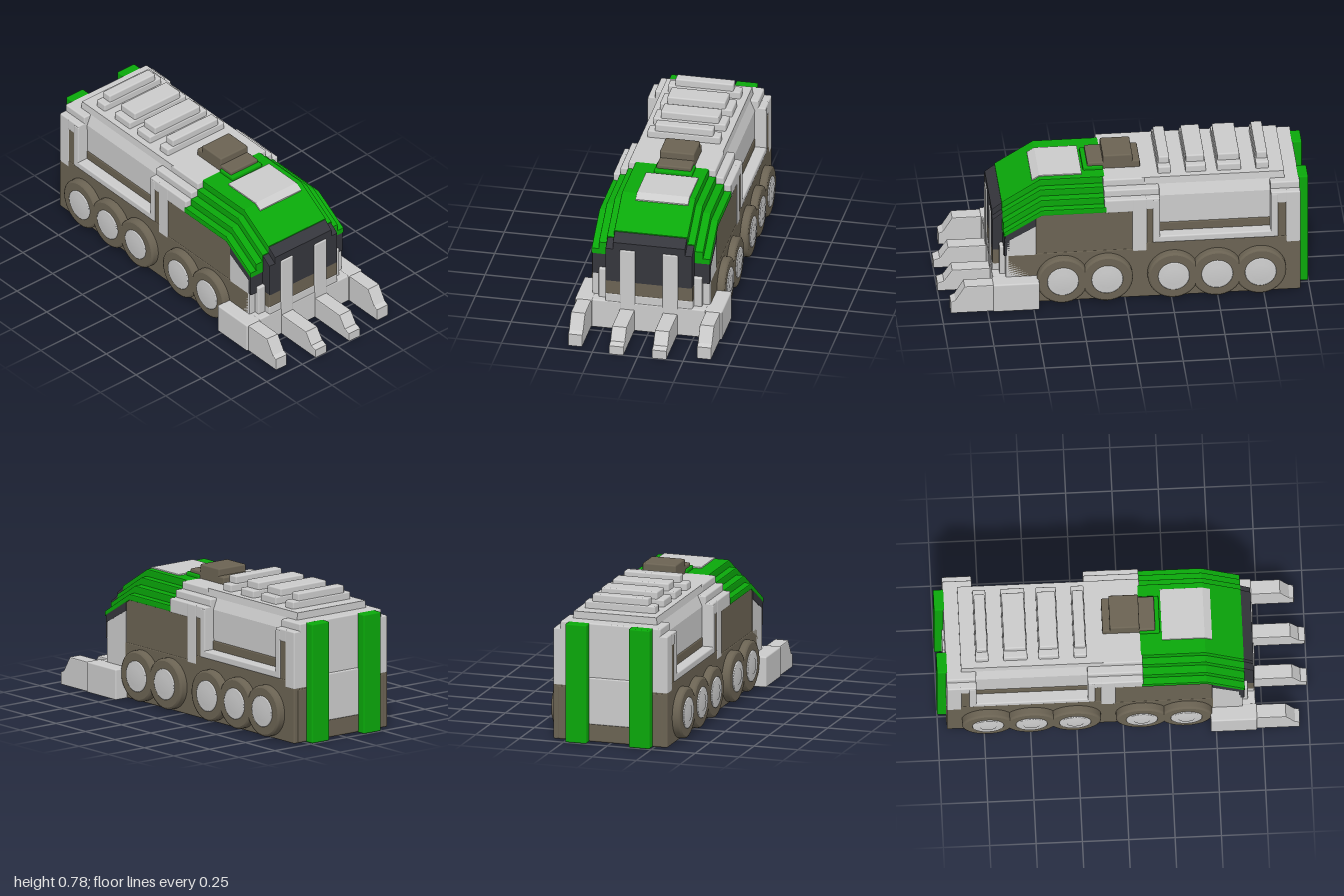
import * as THREE from 'three';
import { RoundedBoxGeometry } from 'three/addons/geometries/RoundedBoxGeometry.js';

const mat = (color) => new THREE.MeshStandardMaterial({ color });

export function createModel() {
  const model = new THREE.Group();
  const grey = mat(0xcccccc), brown = mat(0x6b6353), green = mat(0x0aa80a), dark = mat(0x35363c);
  const underside = mat(0x413d35);

  const add = (name, geometry, material) => {
    const mesh = new THREE.Mesh(geometry, material);
    mesh.name = name;
    model.add(mesh);
    return mesh;
  };
  // Softly rounded block given by its extents
  const block = (name, m, x0, x1, y0, y1, z0, z1, r = 0.008) => {
    const s = [x1 - x0, y1 - y0, z1 - z0];
    const g = new RoundedBoxGeometry(...s, 2, Math.min(r, Math.min(...s) * 0.45));
    g.translate((x0 + x1) / 2, (y0 + y1) / 2, (z0 + z1) / 2);
    return add(name, g, m);
  };
  const wide = (name, m, x0, x1, y0, y1, w) => block(name, m, x0, x1, y0, y1, -w, w);
  const pair = (name, m, x0, x1, y0, y1, z0, z1) => {
    block(name + 'Left', m, x0, x1, y0, y1, -z1, -z0);
    block(name + 'Right', m, x0, x1, y0, y1, z0, z1);
  };
  // Side profile (x, y) extruded from z0 to z1 with a small bevel
  const profile = (name, m, points, z0, z1, b = 0.006) => {
    const shape = new THREE.Shape(points.map(([x, y]) => new THREE.Vector2(x, y)));
    const g = new THREE.ExtrudeGeometry(shape, {
      depth: z1 - z0 - 2 * b, bevelSize: b, bevelOffset: -b, bevelThickness: b, bevelSegments: 2,
    });
    g.translate(0, 0, z0 + b);
    return add(name, g, m);
  };

  // Lower hull
  wide('hull', brown, -0.95, 0.64, 0.002, 0.31, 0.325);
  wide('floor', underside, -0.93, 0.62, 0, 0.02, 0.31);

  // Rear compartment: core running behind the open side bays
  const core = new THREE.Shape([
    [-0.26, 0.28], [0.26, 0.28], [0.265, 0.6], [0.24, 0.66], [0.235, 0.7],
    [-0.235, 0.7], [-0.24, 0.66], [-0.265, 0.6],
  ].map(([x, y]) => new THREE.Vector2(x, y)));
  const coreGeometry = new THREE.ExtrudeGeometry(core, { depth: 0.77, bevelEnabled: false });
  coreGeometry.rotateY(Math.PI / 2);
  coreGeometry.translate(-0.87, 0, 0);
  add('rearCore', coreGeometry, grey);
  wide('rearWallLower', brown, -0.8, -0.18, 0.3, 0.43, 0.267);
  wide('baySillBase', brown, -0.88, -0.1, 0.29, 0.345, 0.325);
  pair('baySill', grey, -0.83, -0.15, 0.34, 0.38, 0.25, 0.327);

  // Stepped end frames on either side of the bays
  wide('rearEnd', grey, -0.95, -0.87, 0.3, 0.62, 0.325);
  wide('rearEndStep', grey, -0.95, -0.79, 0.3, 0.66, 0.285);
  wide('rearEndFoot', brown, -0.952, -0.87, 0.004, 0.3, 0.3);
  wide('rearFrame', brown, -0.88, -0.825, 0.3, 0.56, 0.323);
  wide('rearFrameTop', grey, -0.88, -0.79, 0.55, 0.62, 0.325);
  pair('rearFramePost', grey, -0.83, -0.79, 0.34, 0.61, 0.25, 0.327);
  pair('frontFramePost', grey, -0.19, -0.15, 0.34, 0.61, 0.25, 0.327);
  wide('midFrame', brown, -0.155, -0.11, 0.3, 0.56, 0.323);
  wide('midFrameTop', grey, -0.19, -0.11, 0.55, 0.62, 0.325);
  wide('midPost', grey, -0.12, -0.04, 0.29, 0.62, 0.326);

  // Stepped roof between the compartment and the cab
  [[0.325, 0.62], [0.285, 0.66], [0.24, 0.7]].forEach(([w, top], i) =>
    wide('midRoofStep' + i, grey, i === 1 ? -0.19 : -0.115, 0.11, 0.54, top, w));

  // Roof ribs, two steps each
  [[-0.79, -0.72], [-0.64, -0.51], [-0.45, -0.34], [-0.26, -0.19]].forEach(([a, b], i) => {
    wide('ribBase' + i, grey, a, b, 0.69, 0.74, 0.2);
    wide('ribTop' + i, grey, a + 0.005, b - 0.005, 0.72, 0.78, 0.16);
  });

  // Roof turret
  block('turretBase', brown, -0.1, 0.185, 0.68, 0.74, -0.12, 0.07);
  block('turretTop', brown, -0.06, 0.1, 0.72, 0.78, -0.12, 0.07);
  block('turretMount', green, 0.1, 0.21, 0.69, 0.72, -0.13, 0.08);

  // Rear bumper strips and back panel
  pair('rearStrip', green, -1, -0.94, 0, 0.66, 0.12, 0.24);
  block('backPanel', grey, -0.96, -0.93, 0.1, 0.36, -0.12, 0.12);

  // Cab sides
  wide('cabSide', brown, -0.045, 0.485, 0.17, 0.56, 0.323);
  profile('cabPillar', grey, [[0.48, 0.15], [0.645, 0.15], [0.645, 0.44], [0.48, 0.545]], -0.325, 0.325);
  profile('cabCornerWindow', dark, [[0.62, 0.3], [0.655, 0.3], [0.655, 0.44], [0.62, 0.46]], -0.325, 0.325);
  profile('cabBrow', dark, [[0.48, 0.48], [0.65, 0.385], [0.65, 0.45], [0.48, 0.55]], -0.327, 0.327);

  // Green cab hood built of stepped layers
  [[0.325, 0.58], [0.285, 0.62], [0.24, 0.66], [0.2, 0.7]].forEach(([w, t], i) =>
    profile('hoodStep' + i, green,
      [[0.1, 0.545], [0.45, 0.545], [0.657, 0.42], [0.657, t - 0.13], [0.45, t], [0.1, t]],
      -w - 0.003, w + 0.003));
  profile('roofHatch', grey,
    [[0.22, 0.67], [0.49, 0.65], [0.49, 0.682], [0.45, 0.707], [0.22, 0.707]], -0.17, 0.12, 0.003);

  // Cab nose with windscreen and bars
  [[0.24, 0.485, 0.53], [0.2, 0.525, 0.57]].forEach(([w, low, high], i) =>
    profile('windscreen' + i, dark, [[0.6, 0.29], [0.71, 0.29], [0.71, low], [0.65, high], [0.6, high]], -w, w));
  wide('noseBand', brown, 0.6, 0.71, 0.2, 0.3, 0.24);
  wide('noseBase', grey, 0.6, 0.712, 0, 0.215, 0.24);
  pair('noseBar', grey, 0.69, 0.717, 0.1, 0.485, 0.075, 0.16);
  pair('noseCheek', grey, 0.6, 0.675, 0.15, 0.34, 0.23, 0.285);

  // Front plough with four prongs
  wide('ploughBase', grey, 0.62, 0.715, 0, 0.168, 0.4);
  pair('ploughSide', grey, 0.47, 0.72, 0, 0.17, 0.31, 0.405);
  const outer = [[0.7, 0], [0.95, 0], [0.95, 0.07], [0.925, 0.082], [0.875, 0.165], [0.7, 0.165]];
  const inner = [[0.7, 0], [1, 0], [1, 0.05], [0.965, 0.062], [0.92, 0.128], [0.7, 0.128]];
  for (const s of [-1, 1]) {
    profile('outerProng', grey, outer, s * 0.355 - 0.04, s * 0.355 + 0.04);
    profile('innerProng', grey, inner, s * 0.118 - 0.041, s * 0.118 + 0.041);
  }

  // Wheels: rounded tyre with a raised hub
  const lathe = (pts) => new THREE.LatheGeometry(pts.map(([r, y]) => new THREE.Vector2(r, y)), 36).rotateX(Math.PI / 2);
  const tyre = lathe([[0.14, 0], [0.14, 0.05], [0.137, 0.057], [0.128, 0.062], [0.128, 0.062], [0, 0.062]]);
  const hub = lathe([[0.085, 0.055], [0.085, 0.066], [0.08, 0.069], [0.045, 0.069], [0.043, 0.072], [0, 0.072]]);
  for (const x of [-0.73, -0.495, -0.26, 0.1, 0.34]) {
    for (const s of [1, -1]) {
      const wheel = new THREE.Group();
      wheel.name = 'wheel';
      const t = new THREE.Mesh(tyre, brown), h = new THREE.Mesh(hub, grey);
      t.name = 'tyre';
      h.name = 'hub';
      wheel.add(t, h);
      wheel.position.set(x, 0.15, s * 0.305);
      if (s < 0) wheel.rotation.y = Math.PI;
      model.add(wheel);
    }
  }
  return model;
}
